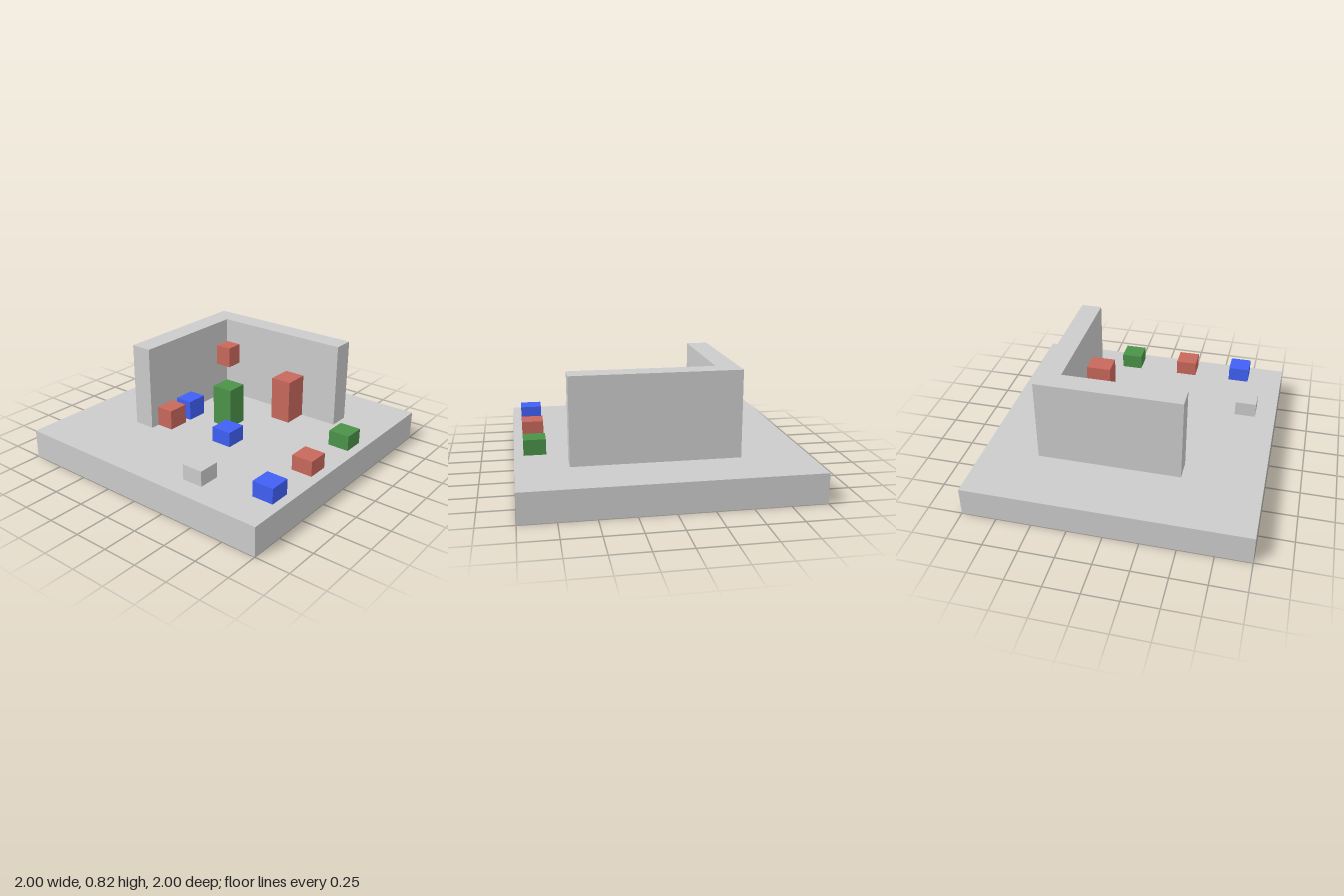
import * as THREE from 'three';

const GREY = 0xcccccc, RED = 0xc8685c, GREEN = 0x4a9248, BLUE = 0x4060f5;
const FLOOR = 0.21;

export function createModel() {
  const model = new THREE.Group();
  const materials = new Map();

  function material(color) {
    if (!materials.has(color)) materials.set(color, new THREE.MeshStandardMaterial({ color }));
    return materials.get(color);
  }

  // Box given by its extents along each axis
  function block(name, color, [x0, x1], [y0, y1], [z0, z1]) {
    const mesh = new THREE.Mesh(new THREE.BoxGeometry(x1 - x0, y1 - y0, z1 - z0), material(color));
    mesh.position.set((x0 + x1) / 2, (y0 + y1) / 2, (z0 + z1) / 2);
    mesh.name = name;
    model.add(mesh);
  }

  // Ground slab
  block('base', GREY, [-1, 1], [0, FLOOR], [-1, 1]);

  // L-shaped wall, extruded from its plan
  const plan = new THREE.Shape([
    [-0.525, -0.435], [-0.37, -0.435], [-0.37, 0.442],
    [0.64, 0.442], [0.64, 0.595], [-0.525, 0.595],
  ].map(([x, y]) => new THREE.Vector2(x, y)));
  const wallGeometry = new THREE.ExtrudeGeometry(plan, { depth: 0.61, bevelEnabled: false });
  wallGeometry.rotateX(-Math.PI / 2);
  const wall = new THREE.Mesh(wallGeometry, material(GREY));
  wall.position.y = FLOOR;
  wall.name = 'cornerWall';
  model.add(wall);

  // Blocks fixed to the wall
  block('wallBlock', RED, [-0.37, -0.245], [0.485, 0.64], [-0.442, -0.315]);
  block('wallPillar', RED, [0.205, 0.36], [FLOOR, 0.53], [-0.442, -0.26]);
  block('sideBlockBack', BLUE, [-0.37, -0.24], [FLOOR, 0.355], [0, 0.158]);
  block('sideBlockFront', RED, [-0.37, -0.24], [FLOOR, 0.355], [0.21, 0.367]);

  // Free-standing blocks
  block('centrePillar', GREEN, [-0.078, 0.078], [FLOOR, 0.505], [-0.078, 0.078]);
  block('centreBlock', BLUE, [0.108, 0.263], [FLOOR, 0.32], [0.163, 0.318]);
  block('frontBlock', GREY, [0.305, 0.46], [FLOOR, 0.32], [0.695, 0.85]);

  // Row of blocks along the left edge
  [[GREEN, -0.305], [RED, 0.152], [BLUE, 0.583]].forEach(([color, z], i) =>
    block(`edgeBlock${i + 1}`, color, [0.78, 0.935], [FLOOR, 0.32], [z, z + 0.155]));

  return model;
}
